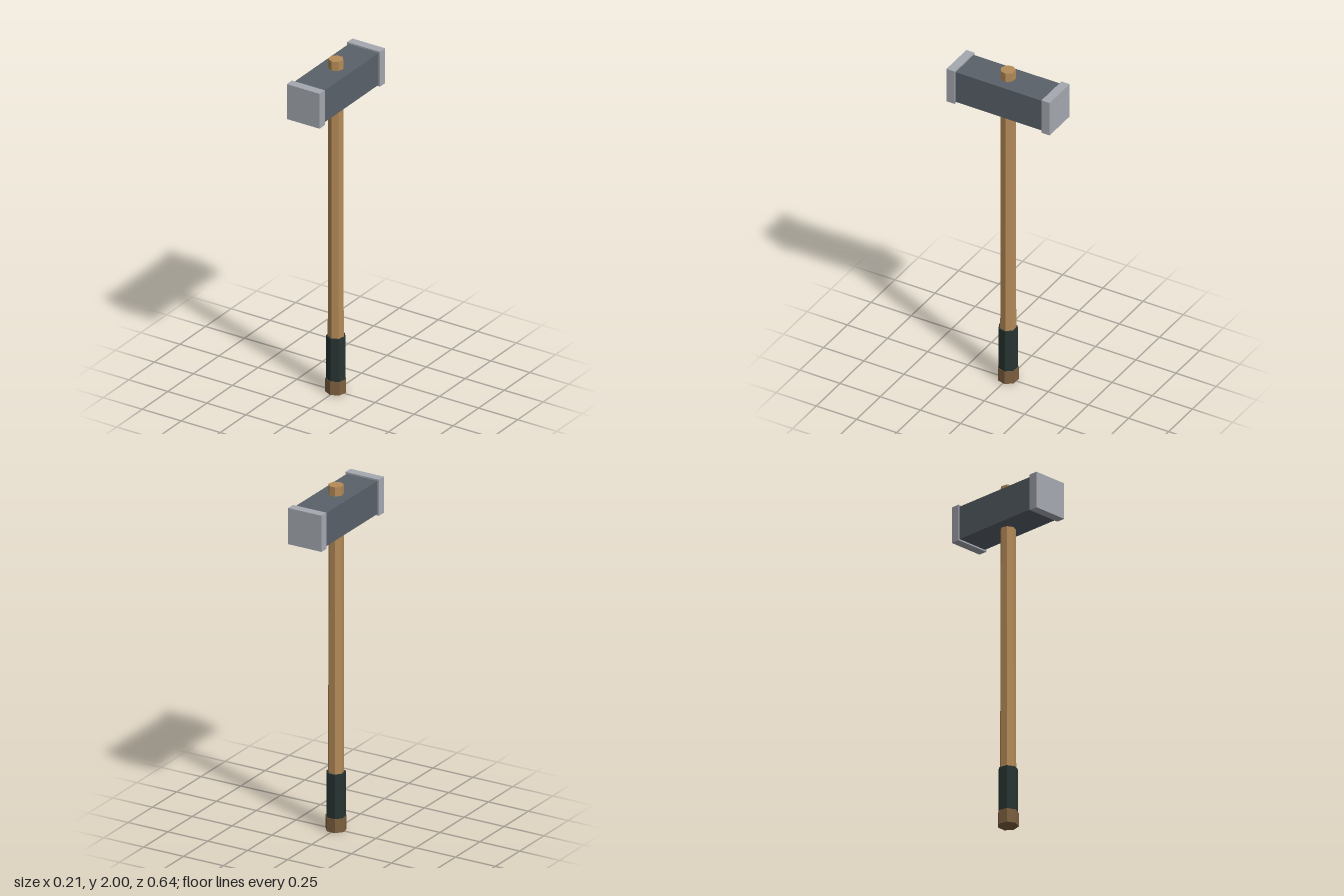
import * as THREE from 'three';

const mat = (name, color) => {
  const m = new THREE.MeshStandardMaterial({ color, flatShading: true });
  m.name = name;
  return m;
};

export function createModel() {
  const wood = mat('wood', 0xb58b58);
  const darkWood = mat('dark wood', 0x7d6040);
  const grip = mat('grip green', 0x283432);
  const iron = mat('dark iron', 0x59616a);
  const steel = mat('light steel', 0xa5a9b0);

  const model = new THREE.Group();
  model.name = 'sledgehammer';

  const add = (name, geometry, material, y, z = 0) => {
    const mesh = new THREE.Mesh(geometry, material);
    mesh.name = name;
    mesh.position.set(0, y, z);
    model.add(mesh);
  };

  // Seven-sided shaft sections, given by their bottom and top heights
  const shaft = (name, rTop, rBottom, y0, y1, material) =>
    add(name, new THREE.CylinderGeometry(rTop, rBottom, y1 - y0, 7), material, (y0 + y1) / 2);

  shaft('handle', 0.042, 0.045, 0.04, 2, wood);
  shaft('handleGrip', 0.055, 0.055, 0.06, 0.335, grip);
  shaft('pommel', 0.058, 0.058, 0, 0.08, darkWood);

  // Head block with a wider striking plate at each end
  add('headBlock', new THREE.BoxGeometry(0.192, 0.192, 0.55), iron, 1.85);
  for (const [name, side] of [['frontStrikingFace', 1], ['backStrikingFace', -1]]) {
    add(name, new THREE.BoxGeometry(0.21, 0.21, 0.051), steel, 1.85, side * 0.2955);
  }

  return model;
}
